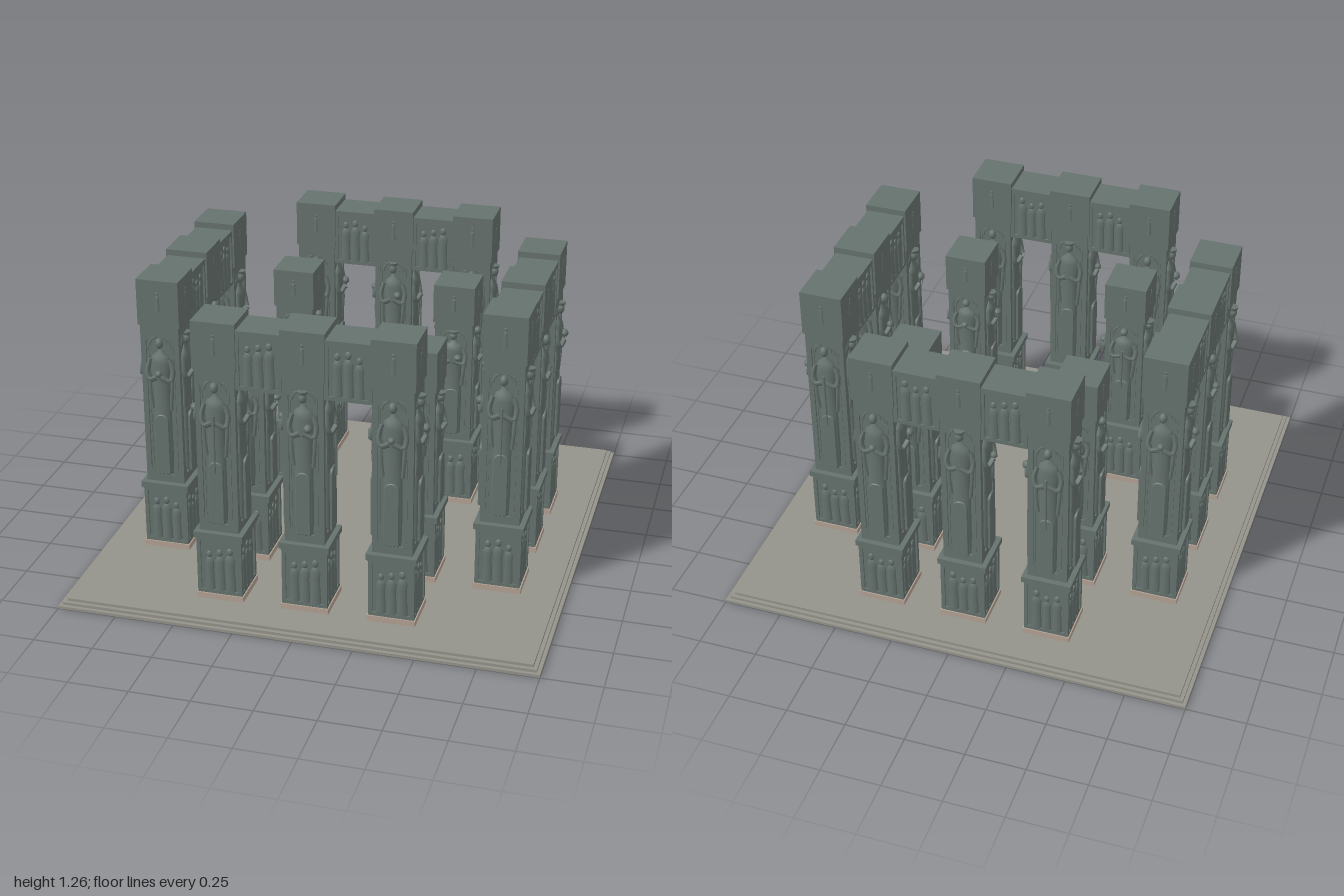
import * as THREE from 'three';

const stone = new THREE.MeshStandardMaterial({ color: 0x66726e });
stone.name = 'green grey stone';
const paving = new THREE.MeshStandardMaterial({ color: 0x94938b });
paving.name = 'paving stone';
const footing = new THREE.MeshStandardMaterial({ color: 0xb4a294 });
footing.name = 'pale footing stone';

function add(parent, name, geo, x = 0, y = 0, z = 0, mat = stone) {
  const m = new THREE.Mesh(geo, mat);
  m.name = name;
  m.position.set(x, y, z);
  parent.add(m);
  return m;
}

function group(parent, name, x = 0, y = 0, z = 0) {
  const g = new THREE.Group();
  g.name = name;
  g.position.set(x, y, z);
  parent.add(g);
  return g;
}

const box = (w, h, d) => new THREE.BoxGeometry(w, h, d);

// Outline with clipped corners; the origin is at the bottom centre
function clipped(Type, w, y0, y1, c) {
  const a = w / 2;
  return new Type([[-a + c, y0], [a - c, y0], [a, y0 + c], [a, y1 - c],
    [a - c, y1], [-a + c, y1], [-a, y1 - c], [-a, y0 + c]].map(p => new THREE.Vector2(...p)));
}

// Flat frame with an opening
function frame(w, h, iw, i0, i1, c, depth) {
  const s = clipped(THREE.Shape, w, 0, h, 0);
  s.holes.push(clipped(THREE.Path, iw, i0, i1, c));
  return new THREE.ExtrudeGeometry(s, { depth, bevelEnabled: false });
}

// Round-headed raised panel
function archPanel(w, h, depth) {
  const r = w / 2, s = new THREE.Shape();
  s.moveTo(-r, 0).lineTo(r, 0).lineTo(r, h - r);
  s.absarc(0, h - r, r, 0, Math.PI);
  s.lineTo(-r, 0);
  return new THREE.ExtrudeGeometry(s, { depth, curveSegments: 6, bevelEnabled: true,
    bevelSize: 0.003, bevelThickness: 0.003, bevelSegments: 1 });
}

const lathe = (pts, n) => new THREE.LatheGeometry(pts.map(p => new THREE.Vector2(...p)), n);
const tube = (pts, r) => new THREE.TubeGeometry(
  new THREE.CatmullRomCurve3(pts.map(p => new THREE.Vector3(...p))), 8, r, 6);

const G = {
  pedestalFrame: frame(0.19, 0.255, 0.158, 0.016, 0.239, 0, 0.008),
  shaftFrame: frame(0.166, 0.715, 0.122, 0.035, 0.665, 0.022, 0.008),
  innerFrame: frame(0.116, 0.62, 0.102, 0.008, 0.612, 0.022, 0.004),
  lintelFrame: frame(0.19, 0.24, 0.156, 0.016, 0.224, 0, 0.008),
  smallRobe: lathe([[0.021, 0], [0.019, 0.05], [0.017, 0.1], [0.02, 0.125], [0.012, 0.14], [0.005, 0.146]], 8),
  head: new THREE.SphereGeometry(1, 10, 7),
  robe: lathe([[0.036, 0], [0.039, 0.1], [0.038, 0.28], [0.035, 0.38], [0.041, 0.45],
    [0.045, 0.51], [0.035, 0.54], [0.012, 0.557], [0.01, 0.58]], 14),
  panel: archPanel(0.056, 0.27, 0.008),
  niche: new THREE.TorusGeometry(0.046, 0.005, 5, 12, Math.PI),
  arm: tube([[0.042, 0.525, 0.006], [0.055, 0.475, 0.012], [0.045, 0.435, 0.022], [0.006, 0.455, 0.034]], 0.011),
  sleeve: tube([[0.05, 0.455, 0.008], [0.047, 0.38, 0.012], [0.04, 0.3, 0.008]], 0.008),
  staff: new THREE.CylinderGeometry(0.005, 0.004, 0.25, 6),
  crown: new THREE.CylinderGeometry(0.022, 0.018, 0.014, 8),
  halo: new THREE.CylinderGeometry(0.03, 0.03, 0.004, 14).rotateX(Math.PI / 2),
  bowl: new THREE.SphereGeometry(0.015, 8, 6),
  bird: new THREE.SphereGeometry(0.018, 8, 6),
};

// Small relief figure, standing on y = 0 against z = 0
function reliefFigure(parent, x, y, z, k = 1) {
  const f = group(parent, 'reliefFigure', x, y, z);
  f.scale.set(k, k, k * 0.5);
  add(f, 'reliefRobe', G.smallRobe);
  add(f, 'reliefHead', G.head, 0, 0.158, 0.004).scale.set(0.012, 0.015, 0.014);
}

function reliefTrio(parent, y, z, k, seed) {
  for (let i = -1; i <= 1; i++) {
    const lift = ((seed + i + 4) % 3) * 0.06;
    reliefFigure(parent, i * 0.044, y, z, k + lift);
  }
}

// Standing figure, with a varying attribute
function statue(parent, y, z, kind) {
  const s = group(parent, 'statue', 0, y, z);
  const robe = add(s, 'robe', G.robe);
  robe.scale.z = 0.55;
  add(s, 'robePanel', G.panel, 0, 0.005, 0.016);
  for (const side of [1, -1]) {
    const a = group(s, 'armPair');
    a.rotation.y = 0;
    for (const [name, geo] of [['arm', G.arm], ['sleeve', G.sleeve]]) {
      const g = side > 0 ? geo : geo.mirrored;
      add(a, name, g);
    }
  }
  add(s, 'head', G.head, 0, 0.597, 0.012).scale.set(0.017, 0.023, 0.018);
  add(s, 'halo', G.halo, 0, 0.597, 0.001);
  add(s, 'nicheArch', G.niche, 0, 0.58, 0.002);
  if (kind === 0) add(s, 'staff', G.staff, 0, 0.36, 0.034);
  if (kind === 1 || kind === 3) add(s, 'crown', G.crown, 0, 0.62, 0.012);
  if (kind === 2) add(s, 'bowl', G.bowl, 0, 0.468, 0.034);
  if (kind === 3) add(s, 'bird', G.bird, 0.025, 0.475, 0.03);
}

// Copies for the other arm, with the corner order turned round
for (const geo of [G.arm, G.sleeve]) {
  const m = geo.clone().scale(-1, 1, 1), ix = m.index;
  for (let i = 0; i < ix.count; i += 3) {
    const a = ix.getX(i);
    ix.setX(i, ix.getX(i + 1));
    ix.setX(i + 1, a);
  }
  m.computeVertexNormals();
  geo.mirrored = m;
}

function pillar(parent, x, z, seed, inner) {
  const p = group(parent, inner ? 'innerPillar' : 'pillar', x, 0, z);
  add(p, 'footing', box(0.2, 0.06, 0.2), 0, 0.031, 0, footing);
  add(p, 'pedestal', box(0.174, 0.255, 0.174), 0, 0.1885, 0);
  add(p, 'pedestalCap', box(0.208, 0.026, 0.208), 0, 0.33, 0);
  add(p, 'pedestalCapMoulding', box(0.196, 0.008, 0.196), 0, 0.314, 0);

  // Inner pillars have a shorter shaft and head block
  const shaft = group(p, 'shaft', 0, 0.343, 0);
  const head = group(p, 'headBlock', 0, inner ? 0.9 : 1.06, 0);
  if (inner) {
    shaft.scale.y = 0.78;
    head.scale.y = 0.85;
  }
  add(shaft, 'shaftCore', box(0.15, 0.717, 0.15), 0, 0.3585, 0);
  add(head, 'block', box(0.18, 0.2, 0.18), 0, 0.1, 0);

  for (let i = 0; i < 4; i++) {
    const faces = [[p, 'pedestalFace'], [shaft, 'shaftFace'], [head, 'blockFace']].map(([g, n]) => {
      const f = group(g, n);
      f.rotation.y = i * Math.PI / 2;
      return f;
    });
    add(faces[0], 'pedestalFrame', G.pedestalFrame, 0, 0.06, 0.087);
    reliefTrio(faces[0], 0.076, 0.086, 1.03, seed + i);
    add(faces[1], 'shaftFrame', G.shaftFrame, 0, 0.002, 0.075);
    add(faces[1], 'innerFrame', G.innerFrame, 0, 0.042, 0.075);
    statue(faces[1], 0.045, 0.076, (seed + i) % 4);
    reliefFigure(faces[2], 0, 0.065, 0.089, 0.5);
  }
}

// Beam with figures on both sides, running along x
function lintel(parent, x, seed) {
  const l = group(parent, 'lintel', x, 0, 0);
  add(l, 'beam', box(0.19, 0.24, 0.148), 0, 1.105, 0);
  add(l, 'beamTop', box(0.19, 0.012, 0.166), 0, 1.228, 0);
  for (let i = 0; i < 2; i++) {
    const f = group(l, 'lintelFace');
    f.rotation.y = i * Math.PI;
    add(f, 'lintelFrame', G.lintelFrame, 0, 0.985, 0.074);
    reliefTrio(f, 1.0, 0.073, 1.0, seed + i);
  }
}

export function createModel() {
  const model = new THREE.Group();
  model.name = 'pillarMonument';

  // Stepped platform
  [2, 1.97, 1.938].forEach((w, i) =>
    add(model, 'platformStep', box(w, 0.012, w), 0, 0.006 + i * 0.012, 0, paving));

  // Four rows of three pillars joined by lintels
  for (let r = 0; r < 4; r++) {
    const side = group(model, 'sideRotation');
    side.rotation.y = r * Math.PI / 2;
    const row = group(side, 'pillarRow', 0, 0, 0.72);
    [-0.36, 0, 0.36].forEach((x, i) => pillar(row, x, 0, r + i * 3, false));
    [-0.18, 0.18].forEach((x, i) => lintel(row, x, r + i));
  }

  // Four free-standing pillars inside the rows
  let seed = 1;
  for (const x of [-0.36, 0.36])
    for (const z of [-0.36, 0.36]) pillar(model, x, z, seed++, true);

  return model;
}
